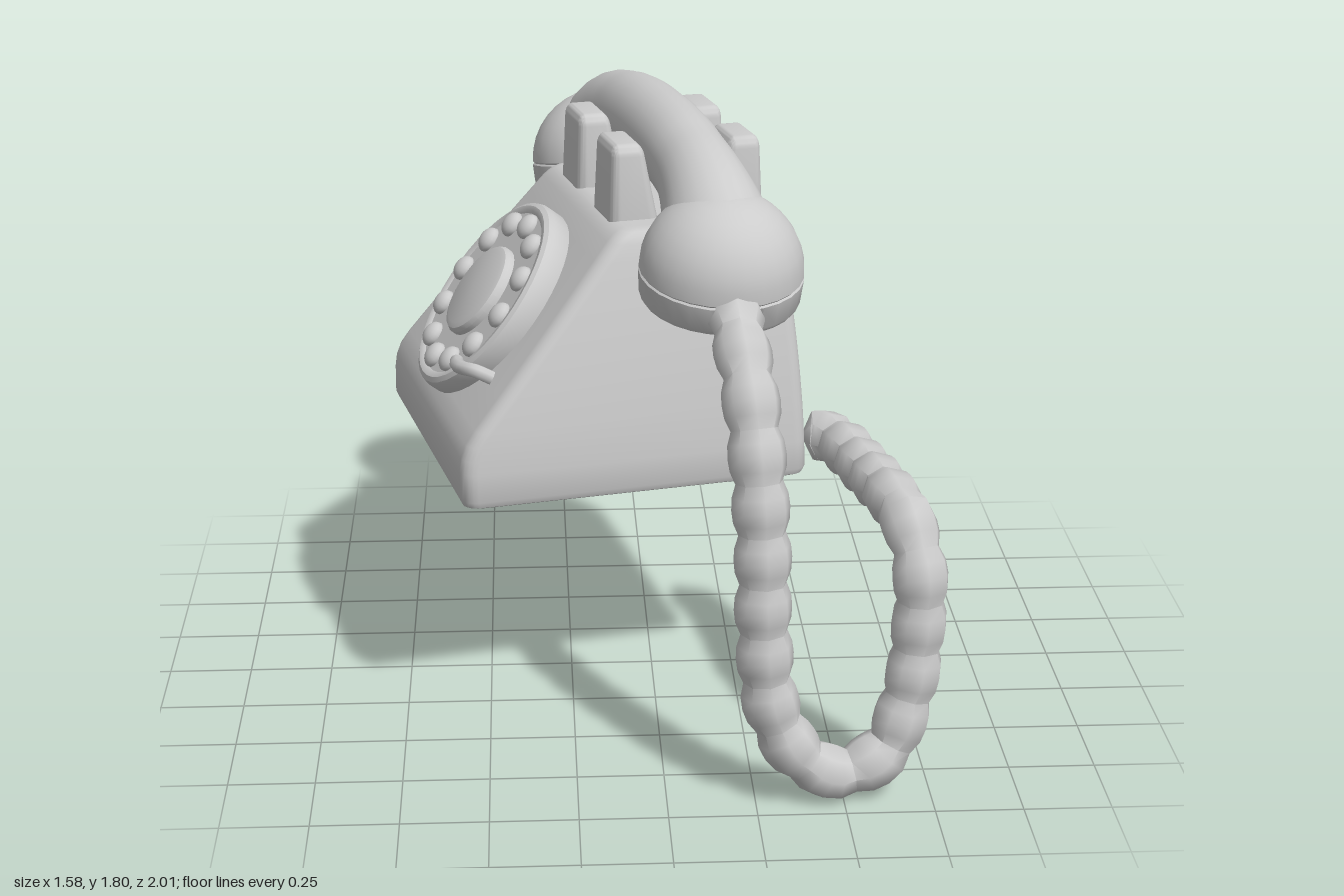
import * as THREE from 'three';
import { toCreasedNormals } from 'three/addons/utils/BufferGeometryUtils.js';
import { RoundedBoxGeometry } from 'three/addons/geometries/RoundedBoxGeometry.js';

const grey = new THREE.MeshStandardMaterial({ color: 0xcccccc });
const openGrey = new THREE.MeshStandardMaterial({ color: 0xcccccc, side: THREE.DoubleSide });

function add(parent, name, geometry, x = 0, y = 0, z = 0, material = grey) {
  const mesh = new THREE.Mesh(geometry, material);
  mesh.name = name;
  mesh.position.set(x, y, z);
  parent.add(mesh);
  return mesh;
}

function group(parent, name, x = 0, y = 0, z = 0) {
  const g = new THREE.Group();
  g.name = name;
  g.position.set(x, y, z);
  parent.add(g);
  return g;
}

function lathe(points, sides) {
  const g = new THREE.LatheGeometry(points.map(p => new THREE.Vector2(...p)), sides);
  return toCreasedNormals(g, 0.6);
}

const curveOf = pts => new THREE.CatmullRomCurve3(pts.map(p => new THREE.Vector3(...p)));

// Tube whose radius follows radiusAt(step)
function sweep(path, steps, sides, radiusAt) {
  const g = new THREE.TubeGeometry(path, steps, 1, sides);
  const p = g.attributes.position, v = new THREE.Vector3();
  for (let i = 0; i <= steps; i++) {
    const centre = path.getPointAt(i / steps), r = radiusAt(i);
    for (let j = 0; j <= sides; j++) {
      const k = i * (sides + 1) + j;
      v.fromBufferAttribute(p, k).sub(centre).multiplyScalar(r).add(centre);
      p.setXYZ(k, v.x, v.y, v.z);
    }
  }
  return g;
}

// Wedge-shaped housing: rounded rectangles stacked in y, dial slope on -x
function bodyGeometry() {
  const base = 0.732, top = 1.495;
  const front = [[base, -0.522], [0.84, -0.522], [0.88, -0.517], [0.92, -0.502], [0.96, -0.474], [top, -0.025]];
  const frontAt = y => {
    const i = Math.max(1, front.findIndex(p => p[0] >= y - 1e-6));
    const [a, b] = [front[i - 1], front[i]];
    return a[1] + (b[1] - a[1]) * (y - a[0]) / (b[0] - a[0]);
  };
  // each level: height, inset from the full outline (1 = closed to a point)
  const levels = [[base, 1], [base, 0.06], [base, 0.022], [base + 0.007, 0.008], [base + 0.025, 0]];
  for (const y of [0.84, 0.88, 0.92, 0.96, 1.05, 1.14, 1.23, 1.32, 1.41, 1.46]) levels.push([y, 0]);
  levels.push([1.478, 0.004], [1.49, 0.014], [top, 0.03], [top, 0.06], [top, 1]);
  const steps = 6, ring = 4 * steps, pos = [], index = [];
  for (const [y, inset] of levels) {
    const t = Math.pow((y - base) / (top - base), 1.7);
    const u0 = frontAt(y), u1 = 0.522 - 0.055 * t;
    const closed = inset === 1;
    const r = closed ? 0 : 0.045 - inset * 0.5;
    const hu = closed ? 0 : (u1 - u0) / 2 - inset - r;
    const hv = closed ? 0 : 0.522 - 0.115 * t - inset - r;
    for (let c = 0; c < 4; c++) {
      const sx = c === 0 || c === 3 ? 1 : -1, sz = c < 2 ? 1 : -1;
      for (let k = 0; k < steps; k++) {
        const a = (c + k / (steps - 1)) * Math.PI / 2;
        pos.push((u0 + u1) / 2 + sx * hu + r * Math.cos(a), y, sz * hv + r * Math.sin(a));
      }
    }
  }
  for (let i = 0; i < levels.length - 1; i++) {
    for (let j = 0; j < ring; j++) {
      const k = (j + 1) % ring;
      const a = i * ring + j, b = i * ring + k, c = a + ring, d = b + ring;
      index.push(a, c, b, b, c, d);
    }
  }
  const g = new THREE.BufferGeometry();
  g.setAttribute('position', new THREE.Float32BufferAttribute(pos, 3));
  g.setIndex(index);
  return toCreasedNormals(g, 0.65);
}

// Dial plate, finger buttons, centre and finger stop; local y leaves the slope
function addDial(parent) {
  const dial = group(parent, 'dial', -0.302, 1.192, 0);
  dial.rotation.z = 0.91;
  add(dial, 'dialPlate', lathe([[0, -0.05], [0.31, -0.05], [0.32, -0.02], [0.32, 0.028], [0.314, 0.045],
    [0.3, 0.053], [0.285, 0.051], [0.278, 0.045], [0, 0.045]], 40));
  add(dial, 'dialCentre', lathe([[0.15, 0.03], [0.15, 0.06], [0.142, 0.072], [0.125, 0.078], [0, 0.082]], 32));
  const bead = new THREE.SphereGeometry(0.041, 14, 10).scale(1, 0.7, 1);
  for (let i = 0; i < 12; i++) {
    const a = i * Math.PI / 6;
    add(dial, 'fingerButton', bead, 0.238 * Math.cos(a), 0.05, 0.238 * Math.sin(a));
  }
  const stop = curveOf([[-0.19, 0.055, 0.19], [-0.19, 0.068, 0.24], [-0.18, 0.07, 0.3], [-0.16, 0.05, 0.345], [-0.15, 0, 0.355]]);
  add(dial, 'fingerStop', new THREE.TubeGeometry(stop, 16, 0.021, 8));
  add(dial, 'fingerStopTip', new THREE.SphereGeometry(0.021, 8, 6), -0.19, 0.055, 0.19);
}

// Four posts that carry the handset: upright outside, slanted towards the grip
function addCradle(parent) {
  const cradle = group(parent, 'cradle', 0.215, 1.575, 0);
  const g = new RoundedBoxGeometry(0.16, 0.28, 0.225, 4, 0.035);
  const p = g.attributes.position;
  for (let i = 0; i < p.count; i++) {
    const t = p.getY(i) / 0.28 + 0.5;
    p.setX(i, 0.08 - 0.012 * t - (0.08 - p.getX(i)) * (1 - 0.42 * t));
    p.setZ(i, p.getZ(i) * (1 - 0.12 * t));
  }
  g.computeVertexNormals();
  const post = toCreasedNormals(g, 0.6);
  for (const side of [-1, 1]) for (const z of [-0.186, 0.186]) {
    add(cradle, 'cradlePost', post, side * 0.156, 0, z).rotation.y = side < 0 ? Math.PI : 0;
  }
}

// Arched grip flaring into a tilted cup at each end
function addHandset(parent) {
  const handset = group(parent, 'handset', 0.213, 0, 0);
  const half = [[0.13, 1.675], [0.28, 1.66], [0.43, 1.623], [0.54, 1.555], [0.6, 1.47], [0.62, 1.42]];
  const path = curveOf([
    ...half.slice().reverse().map(([z, y]) => [0, y, -z]), [0, 1.678, 0], ...half.map(([z, y]) => [0, y, z])]);
  const steps = 56;
  const flare = i => 0.131 + 0.084 * Math.pow(Math.max(0, Math.abs(i / steps * 2 - 1) - 0.45) / 0.55, 1.7);
  add(handset, 'grip', toCreasedNormals(sweep(path, steps, 24, flare).scale(0.9, 1, 1), 1), 0, 0, 0, openGrey);

  const profile = [[0, 0], [0.2, 0], [0.22, 0.006], [0.229, 0.02], [0.235, 0.09], [0.23, 0.095], [0.234, 0.1]];
  for (let i = 1; i <= 9; i++) {
    const a = i / 9 * Math.PI / 2;
    profile.push([i === 9 ? 0 : 0.234 * Math.cos(a), 0.1 + 0.225 * Math.sin(a)]);
  }
  const cup = lathe(profile, 28);
  for (const [name, turn] of [['mouthpiece', 0], ['earpiece', Math.PI]]) {
    const end = group(handset, name);
    end.rotation.y = turn;
    add(end, name + 'Cup', cup, 0, 1.337, 0.6).rotation.x = 0.2;
  }
}

// Beaded cord: the radius swells once per bead, closed at both ends
function cordGeometry() {
  const path = curveOf([[0.2, 1.38, 0.54], [0.205, 1.33, 0.66], [0.225, 1.22, 0.79], [0.245, 1.03, 0.875],
    [0.26, 0.78, 0.91], [0.265, 0.55, 0.92], [0.29, 0.31, 0.92], [0.37, 0.15, 0.915], [0.48, 0.085, 0.9],
    [0.61, 0.13, 0.88], [0.68, 0.3, 0.86], [0.705, 0.5, 0.85], [0.705, 0.68, 0.84], [0.675, 0.8, 0.76],
    [0.645, 0.815, 0.62], [0.605, 0.8, 0.38], [0.565, 0.795, 0.19], [0.52, 0.79, 0.09], [0.45, 0.785, 0.07]]);
  const radius = [0.066, 0.079, 0.082, 0.079];
  const steps = 22 * radius.length;
  const g = sweep(path, steps, 8, i => i === 0 || i === steps ? 0.001 : radius[i % radius.length]);
  return toCreasedNormals(g, 0.9);
}

export function createModel() {
  const model = new THREE.Group();
  model.name = 'rotaryTelephone';
  const phone = group(model, 'telephone', -0.175, 0, -0.12);
  phone.rotation.y = 0.234;
  add(phone, 'body', bodyGeometry());
  addDial(phone);
  addCradle(phone);
  addHandset(phone);
  add(model, 'cord', cordGeometry(), 0, 0, 0, openGrey);
  return model;
}
